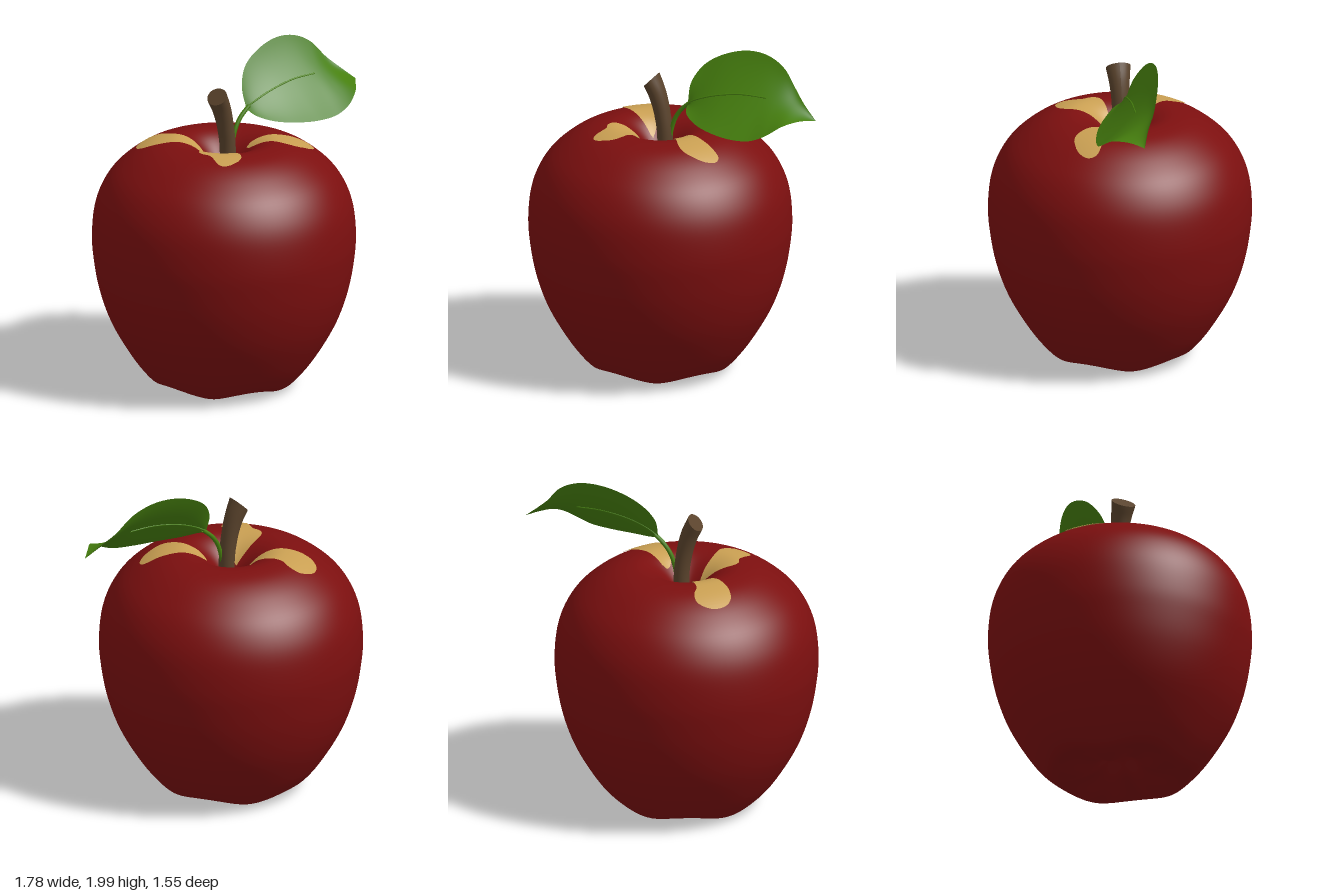
import * as THREE from 'three';
import { mergeVertices } from 'three/addons/utils/BufferGeometryUtils.js';

const CENTRE_X = -0.115;

const mat = (name, color, side = THREE.FrontSide) => {
  const m = new THREE.MeshStandardMaterial({ color, side });
  m.name = name;
  return m;
};
const v3 = (p) => new THREE.Vector3(...p);
const curve = (pts) => new THREE.CatmullRomCurve3(pts.map(v3));

// Fruit profile [radius, height], from the bottom hollow to the stem hollow
const profile = new THREE.SplineCurve([
  [0, 0.2], [0.06, 0.16], [0.14, 0.08], [0.23, 0.025], [0.31, 0.008], [0.39, 0.025], [0.45, 0.07],
  [0.55, 0.2], [0.665, 0.4], [0.735, 0.6], [0.77, 0.8], [0.777, 0.94], [0.762, 1.09],
  [0.722, 1.21], [0.655, 1.315], [0.555, 1.405], [0.455, 1.465], [0.36, 1.495], [0.27, 1.5],
  [0.18, 1.465], [0.1, 1.39], [0.04, 1.3], [0, 1.24],
].map((p) => new THREE.Vector2(...p))).getPoints(110);
profile[0].x = profile[110].x = 0;

// Height of the upper surface at a given radius
function topHeight(r) {
  for (let i = 110; i > 60; i--) {
    const a = profile[i], b = profile[i - 1];
    if (r <= b.x) return a.y + (b.y - a.y) * (r - a.x) / (b.x - a.x);
  }
  return 1.2;
}

function fruitGeometry() {
  let geo = new THREE.LatheGeometry(profile, 120);
  geo.deleteAttribute('uv');
  geo.deleteAttribute('normal');
  geo = mergeVertices(geo, 1e-5);
  const p = geo.attributes.position;
  // Five rounded feet around the bottom hollow
  for (let i = 0; i < p.count; i++) {
    const x = p.getX(i), y = p.getY(i), z = p.getZ(i);
    if (y > 0.4) continue;
    const w = Math.exp(-(((Math.hypot(x, z) - 0.29) / 0.13) ** 2));
    p.setY(i, y + 0.03 * w * (1 - Math.cos(5 * Math.atan2(z, x))));
  }
  geo.computeVertexNormals();
  return geo;
}

// Smooth sheet from point(u, v), with u and v running from 0 to 1
function sheet(nu, nv, point) {
  const pos = [], idx = [];
  for (let i = 0; i <= nu; i++) {
    for (let j = 0; j <= nv; j++) {
      pos.push(...point(i / nu, j / nv));
      if (i < nu && j < nv) {
        const a = i * (nv + 1) + j, b = a + nv + 1;
        idx.push(a, b, a + 1, b, b + 1, a + 1);
      }
    }
  }
  const geo = new THREE.BufferGeometry();
  geo.setAttribute('position', new THREE.Float32BufferAttribute(pos, 3));
  geo.setIndex(idx);
  geo.computeVertexNormals();
  return geo;
}

// Pale patch on the shoulder, from rows of [z, smallest x, largest x]
function patchGeometry(rows) {
  const c = curve(rows);
  return sheet(40, 20, (u, v) => {
    const row = c.getPoint(u);
    const x = THREE.MathUtils.lerp(row.y, row.z, v);
    return [x, topHeight(Math.hypot(x - CENTRE_X, row.x)) + 0.006, row.x];
  });
}

// Stem: rings along a bent line, with a slanting cut at the top
function stemGeometry() {
  const rings = [ // x, y, tilt, half width, half depth
    [-0.085, 1.22, 0, 0.046, 0.048], [-0.085, 1.45, 0.05, 0.046, 0.05],
    [-0.102, 1.58, 0.2, 0.048, 0.052], [-0.13, 1.69, 0.45, 0.052, 0.06],
    [-0.17, 1.782, 0.8, 0.057, 0.074],
  ];
  const line = curve(rings.map((r) => r.slice(0, 3)));
  const size = curve(rings.map((r) => [r[3], r[4], 0]));
  const at = (u, a, k = 1) => {
    const c = line.getPoint(u), s = size.getPoint(u);
    const d = Math.cos(a) * s.x * k;
    return [c.x + d * Math.cos(c.z), c.y + d * Math.sin(c.z), -Math.sin(a) * s.y * k];
  };
  return {
    side: sheet(24, 28, (u, v) => at(u, -v * Math.PI * 2)),
    cut: sheet(1, 28, (u, v) => at(1, -v * Math.PI * 2, 1 - u)),
  };
}

// Leaf: upper edge, middle and lower edge from base to tip
const upper = curve([[0.06, 1.67, 0], [0.065, 1.78, -0.04], [0.13, 1.885, -0.085], [0.25, 1.96, -0.105],
  [0.4, 2.0, -0.112], [0.53, 1.99, -0.1], [0.64, 1.935, -0.075], [0.73, 1.83, -0.035],
  [0.8, 1.76, 0.01], [0.89, 1.68, 0.05]]);
const middle = curve([[0.06, 1.665, 0], [0.1, 1.69, 0.012], [0.17, 1.72, 0.022], [0.27, 1.752, 0.028],
  [0.4, 1.775, 0.032], [0.53, 1.78, 0.038], [0.63, 1.77, 0.045], [0.73, 1.745, 0.053],
  [0.81, 1.715, 0.055], [0.89, 1.68, 0.05]]);
const lower = curve([[0.06, 1.66, 0], [0.075, 1.63, 0.07], [0.15, 1.597, 0.14], [0.27, 1.577, 0.205],
  [0.42, 1.568, 0.25], [0.55, 1.58, 0.266], [0.65, 1.622, 0.26], [0.74, 1.678, 0.215],
  [0.82, 1.692, 0.125], [0.89, 1.68, 0.05]]);

function leafGeometry() {
  return sheet(60, 16, (u, v) => {
    const a = upper.getPoint(u), m = middle.getPoint(u), b = lower.getPoint(u);
    // Curve through the three points of the cross-section
    const wa = 2 * (v - 0.5) * (v - 1), wm = 4 * v * (1 - v), wb = 2 * v * (v - 0.5);
    return a.multiplyScalar(wa).addScaledVector(m, wm).addScaledVector(b, wb).toArray();
  });
}

export function createModel() {
  const group = new THREE.Group();
  const red = mat('fruit red', 0x7c0f0f);
  const tan = mat('patch tan', 0xc99f52, THREE.DoubleSide);
  const brown = mat('stem brown', 0x5a432c, THREE.DoubleSide);
  const green = mat('leaf green', 0x467f0e, THREE.DoubleSide);
  const add = (name, geo, material) => {
    const mesh = new THREE.Mesh(geo, material);
    mesh.name = name;
    group.add(mesh);
    return mesh;
  };

  add('fruit', fruitGeometry(), red).position.x = CENTRE_X;

  // Three pale patches spreading from the stem hollow
  add('backPatch', patchGeometry([
    [-0.44, -0.37, -0.345], [-0.43, -0.41, -0.31], [-0.4, -0.45, -0.285], [-0.36, -0.475, -0.272],
    [-0.31, -0.48, -0.27], [-0.27, -0.465, -0.25], [-0.22, -0.43, -0.22], [-0.16, -0.36, -0.195],
    [-0.11, -0.28, -0.185], [-0.065, -0.2, -0.185]]), tan);
  add('frontRightPatch', patchGeometry([
    [0.04, -0.26, -0.18], [0.052, -0.34, -0.18], [0.075, -0.385, -0.18], [0.12, -0.4, -0.19],
    [0.17, -0.387, -0.21], [0.22, -0.4, -0.225], [0.28, -0.42, -0.24], [0.32, -0.41, -0.27],
    [0.34, -0.37, -0.31]]), tan);
  add('frontLeftPatch', patchGeometry([
    [0.05, 0.02, 0.05], [0.08, 0.01, 0.1], [0.13, 0.02, 0.18], [0.18, 0.05, 0.27],
    [0.23, 0.08, 0.345], [0.28, 0.11, 0.345], [0.32, 0.15, 0.3], [0.335, 0.19, 0.25]]), tan);

  const stem = stemGeometry();
  add('stem', stem.side, brown);
  add('stemCut', stem.cut, brown);

  // Leaf with its stalk and rib
  add('leaf', leafGeometry(), green);
  const stalk = curve([[-0.06, 1.38, 0], [-0.045, 1.48, 0], [-0.02, 1.56, 0], [0.02, 1.62, 0], [0.08, 1.675, 0.005]]);
  add('leafStalk', new THREE.TubeGeometry(stalk, 24, 0.013, 10), green);
  const rib = curve([0, 0.15, 0.3, 0.45, 0.6].map((t) => middle.getPoint(t).toArray()));
  add('leafRib', new THREE.TubeGeometry(rib, 30, 0.005, 8), green);

  return group;
}
